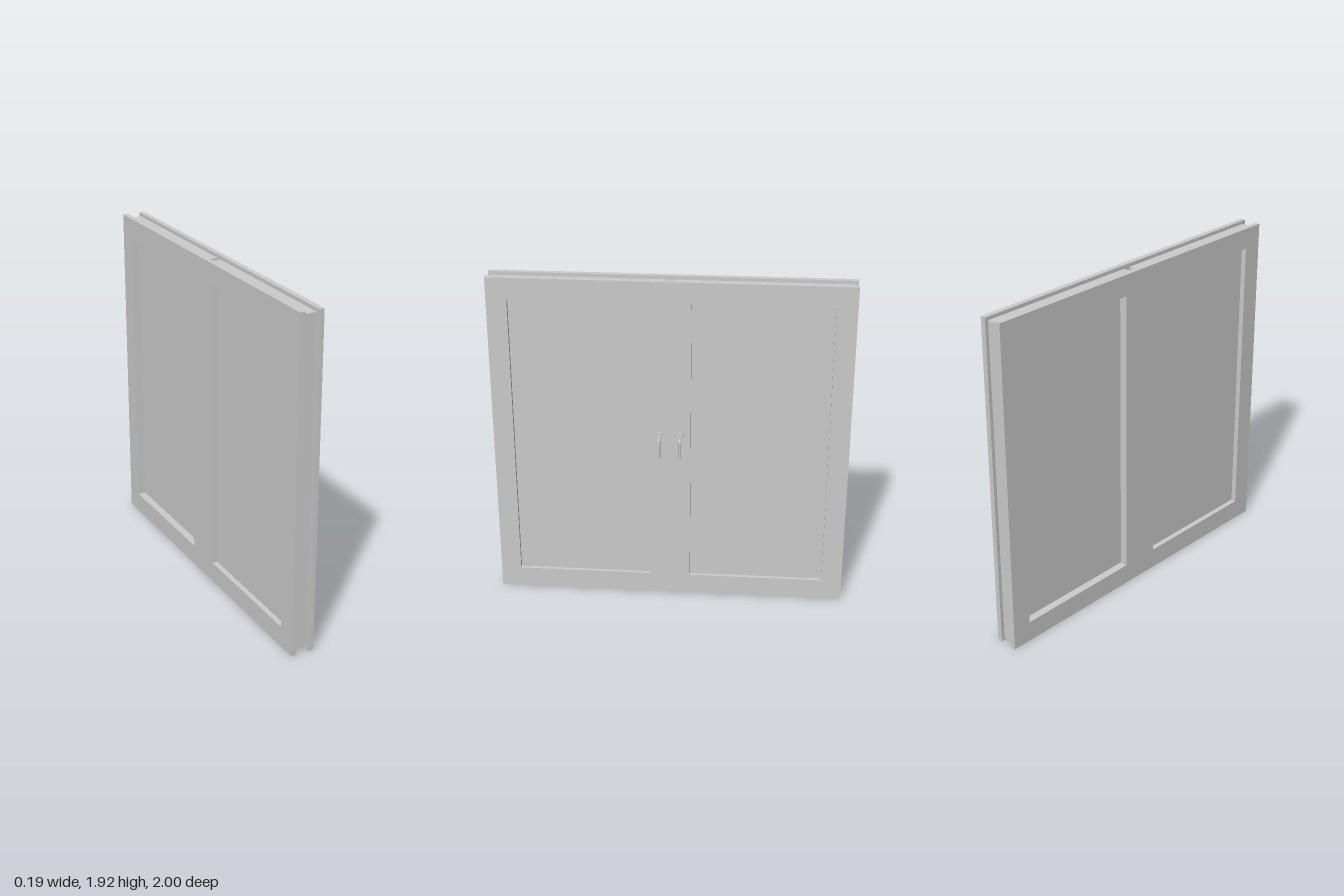
import * as THREE from 'three';

const material = new THREE.MeshStandardMaterial({ color: 0xcccccc });
const HEIGHT = 1.92;
const OPENING = { z0: 0.115, z1: 0.885, y0: 0.12, y1: 1.8 };

function addMesh(parent, geometry, name) {
  const mesh = new THREE.Mesh(geometry, material);
  mesh.name = name;
  parent.add(mesh);
  return mesh;
}

function tracePath(path, x0, y0, x1, y1) {
  path.moveTo(x0, y0);
  path.lineTo(x1, y0);
  path.lineTo(x1, y1);
  path.lineTo(x0, y1);
  path.closePath();
  return path;
}

// Extrudes an outline drawn in (-z, y) so that it fills x0..x1
function slab(shape, x0, x1) {
  const geometry = new THREE.ExtrudeGeometry(shape, { depth: x1 - x0, bevelEnabled: false, curveSegments: 12 });
  geometry.rotateY(Math.PI / 2);
  geometry.translate(x0, 0, 0);
  return geometry;
}

// Opening for one leaf; side is +1 or -1
function openingPath(side) {
  const { z0, z1, y0, y1 } = OPENING;
  return tracePath(new THREE.Path(), side * z0, y0, side * z1, y1);
}

function facing(x0, x1) {
  const shape = tracePath(new THREE.Shape(), -1, 0, 1, HEIGHT);
  shape.holes.push(openingPath(1), openingPath(-1));
  return slab(shape, x0, x1);
}

function createHandle() {
  const handle = new THREE.Group();

  // Rounded backplate
  const r = 0.016, low = 0.994, high = 1.026;
  const plate = new THREE.Shape();
  plate.absarc(0, high, r, 0, Math.PI, false);
  plate.absarc(0, low, r, Math.PI, Math.PI * 2, false);
  plate.closePath();
  addMesh(handle, slab(plate, 0.035, 0.05), 'backplate');

  // Bent grip: out from the plate, then down
  const v = (x, y) => new THREE.Vector3(x, y, 0);
  const path = new THREE.CurvePath();
  path.add(new THREE.LineCurve3(v(0.045, 1.012), v(0.073, 1.012)));
  path.add(new THREE.QuadraticBezierCurve3(v(0.073, 1.012), v(0.087, 1.012), v(0.087, 0.998)));
  path.add(new THREE.LineCurve3(v(0.087, 0.998), v(0.087, 0.905)));
  addMesh(handle, new THREE.TubeGeometry(path, 48, 0.008, 12), 'grip');

  const cap = new THREE.CircleGeometry(0.008, 12);
  cap.rotateX(Math.PI / 2);
  cap.translate(0.087, 0.905, 0);
  addMesh(handle, cap, 'gripEnd');
  return handle;
}

export function createModel() {
  const model = new THREE.Group();
  model.name = 'doubleDoor';

  // Outer boards on both faces
  addMesh(model, facing(0.005, 0.035), 'frontFacing');
  addMesh(model, facing(-0.1, -0.07), 'backFacing');

  for (const side of [1, -1]) {
    const leaf = new THREE.Group();
    leaf.name = side > 0 ? 'frontLeaf' : 'rearLeaf';
    model.add(leaf);

    // Inset core frame, leaving a groove all round and a gap at the centre
    const core = tracePath(new THREE.Shape(), -side * 0.018, 0.02, -side * 0.98, HEIGHT - 0.02);
    core.holes.push(openingPath(-side));
    addMesh(leaf, slab(core, -0.07, 0.005), 'coreFrame');

    // Recessed panel
    const { z0, z1, y0, y1 } = OPENING;
    const panel = addMesh(leaf, new THREE.BoxGeometry(0.069, y1 - y0, z1 - z0), 'panel');
    panel.position.set(-0.021, (y0 + y1) / 2, side * (z0 + z1) / 2);

    const handle = createHandle();
    handle.name = 'handle';
    handle.position.z = side * 0.058;
    leaf.add(handle);
  }
  return model;
}
